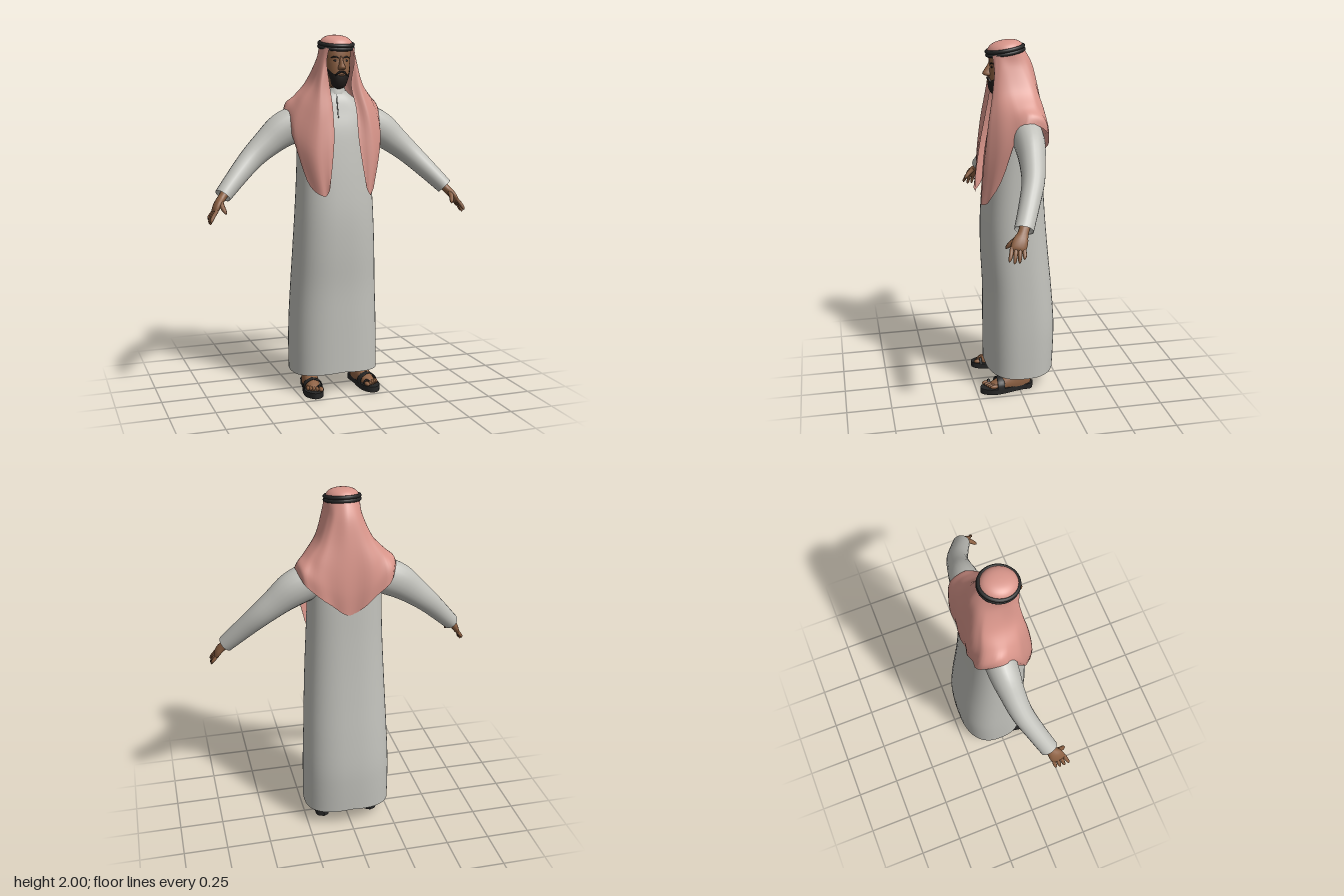
import * as THREE from 'three';
import { mergeVertices } from 'three/addons/utils/BufferGeometryUtils.js';

const paint = (name, color, double) => {
  const m = new THREE.MeshStandardMaterial({ color });
  m.name = name;
  if (double) m.side = THREE.DoubleSide;
  return m;
};

// Smoothly resample a list of equal-length number rows (Catmull-Rom)
function resample(rows, n) {
  const last = rows.length - 1;
  const at = i => rows[Math.min(last, Math.max(0, i))];
  return Array.from({ length: n + 1 }, (_, k) => {
    const u = (k / n) * last, i = Math.min(last - 1, Math.floor(u)), t = u - i;
    return rows[0].map((_, c) => {
      const [a, b, d, e] = [at(i - 1)[c], at(i)[c], at(i + 1)[c], at(i + 2)[c]];
      return b + 0.5 * t * (d - a + t * (2 * a - 5 * b + 4 * d - e + t * (3 * (b - d) + e - a)));
    });
  });
}

// Skin a list of point rings
function loft(rings, closed = true) {
  const n = rings[0].length, pos = rings.flat(2), idx = [];
  for (let i = 0; i < rings.length - 1; i++) {
    for (let j = 0; j < (closed ? n : n - 1); j++) {
      const k = (j + 1) % n, a = i * n + j, b = a + n, c = i * n + k, d = c + n;
      idx.push(a, b, c, b, d, c);
    }
  }
  const g = new THREE.BufferGeometry();
  g.setAttribute('position', new THREE.Float32BufferAttribute(pos, 3));
  g.setIndex(idx);
  g.computeVertexNormals();
  return g;
}

// Upright body from rows [y, half width, front z, back z]; lift bends each ring
function stack(rows, { sides = 32, steps = 0, power = 2, lift = () => 0 } = {}) {
  const list = steps ? resample(rows, steps) : rows;
  const sq = v => Math.sign(v) * Math.abs(v) ** (2 / power);
  return loft(list.map(([y, rx, zf, zb], i) => Array.from({ length: sides }, (_, j) => {
    const a = (j / sides) * Math.PI * 2, c = sq(Math.cos(a)), s = sq(Math.sin(a));
    return [c * rx, y + lift(c, s, i), (zf + zb) / 2 + s * (zf - zb) / 2];
  })));
}

// Limb from rows [x, y, z, radius across, radius in z]
function limb(rows, steps = 12, sides = 14) {
  const list = resample(rows, steps), ref = new THREE.Vector3(0, 0, 1);
  const pts = list.map(r => new THREE.Vector3(r[0], r[1], r[2]));
  return loft(list.map((r, i) => {
    const t = pts[Math.min(i + 1, steps)].clone().sub(pts[Math.max(i - 1, 0)]).normalize();
    const n1 = t.clone().cross(ref).normalize(), n2 = n1.clone().cross(t);
    return Array.from({ length: sides }, (_, j) => {
      const a = (j / sides) * Math.PI * 2;
      return pts[i].clone().addScaledVector(n1, Math.cos(a) * r[3])
        .addScaledVector(n2, Math.sin(a) * r[4]).toArray();
    });
  }));
}

// Copy of a geometry reflected in x, with its faces turned round again
function mirrored(geo) {
  const g = (geo.index ? geo.clone() : mergeVertices(geo)).scale(-1, 1, 1);
  const ix = g.index.array;
  for (let i = 0; i < ix.length; i += 3) [ix[i], ix[i + 1]] = [ix[i + 1], ix[i]];
  return g;
}

export function createModel() {
  const robe = paint('robe grey', 0xc1c1bb, true);
  const cloth = paint('headcloth pink', 0xd8958a, true);
  const skin = paint('skin brown', 0x8c6042);
  const hair = paint('beard black', 0x241f1d, true);
  const black = paint('leather black', 0x262626);
  const seam = paint('seam grey', 0x636361);

  const model = new THREE.Group();
  const add = (name, geo, mat, parent = model) => {
    const m = new THREE.Mesh(geo, mat);
    m.name = name;
    parent.add(m);
    return m;
  };
  const pair = (name, geo, mat) => {
    add(name + 'Left', geo, mat);
    add(name + 'Right', mirrored(geo), mat);
  };

  // Long robe with an open hem
  add('robe', stack([
    [0.12, 0.253, 0.178, -0.218], [0.25, 0.253, 0.178, -0.224], [0.4, 0.25, 0.178, -0.225],
    [0.6, 0.241, 0.178, -0.21], [0.8, 0.232, 0.187, -0.19], [1.0, 0.222, 0.187, -0.172],
    [1.2, 0.212, 0.172, -0.158], [1.4, 0.205, 0.15, -0.148], [1.5, 0.205, 0.135, -0.14],
    [1.58, 0.195, 0.115, -0.125], [1.64, 0.14, 0.1, -0.1], [1.68, 0.085, 0.085, -0.065],
    [1.7, 0.062, 0.082, -0.04],
  ], { sides: 48, steps: 48, power: 2.5, lift: (c, s, i) => (i < 3 ? -0.02 * Math.abs(c) * (1 - i / 3) : 0) }), robe);
  add('collar', stack([[1.68, 0.066, 0.088, -0.05], [1.705, 0.059, 0.085, -0.04], [1.715, 0.055, 0.08, -0.036],
    [1.7, 0.05, 0.075, -0.03]]), robe);
  add('placket', limb([[-0.012, 1.55, 0.123, 0.002, 0.002], [-0.012, 1.58, 0.1155, 0.003, 0.002],
    [-0.012, 1.64, 0.1005, 0.003, 0.002], [-0.01, 1.68, 0.088, 0.002, 0.002]], 8, 6), seam);

  // Sleeves, turned in at the cuff
  pair('sleeve', limb([
    [0.12, 1.54, -0.03, 0.085, 0.08], [0.2, 1.52, -0.03, 0.1, 0.085], [0.29, 1.48, -0.03, 0.098, 0.08],
    [0.38, 1.412, -0.022, 0.08, 0.068], [0.47, 1.335, -0.005, 0.066, 0.06], [0.56, 1.245, 0.035, 0.056, 0.054],
    [0.655, 1.145, 0.083, 0.046, 0.05],
  ], 24, 20), robe);
  pair('cuffLining', limb([[0.654, 1.146, 0.082, 0.045, 0.049], [0.645, 1.156, 0.078, 0.036, 0.038],
    [0.63, 1.17, 0.07, 0.001, 0.001]], 4, 20), robe);

  // Hands
  pair('palm', limb([[0.63, 1.17, 0.07, 0.024, 0.028], [0.665, 1.13, 0.09, 0.022, 0.028],
    [0.69, 1.1, 0.108, 0.02, 0.04], [0.708, 1.068, 0.123, 0.015, 0.04], [0.714, 1.055, 0.127, 0.002, 0.03]]), skin);
  [-1.5, -0.5, 0.5, 1.5].forEach((f, i) => {
    const z = 0.124 + f * 0.02, tip = [1.02, 1.003, 1.0, 1.012][i];
    pair('finger' + (i + 1), limb([[0.702, 1.075, z, 0.01, 0.01], [0.725, 1.045, z + 0.004 + f * 0.003, 0.0105, 0.0105],
      [0.737, tip + 0.01, z + 0.01 + f * 0.005, 0.008, 0.008],
      [0.738, tip, z + 0.011 + f * 0.005, 0.001, 0.001]], 8, 8), skin);
  });
  pair('thumb', limb([[0.675, 1.125, 0.105, 0.014, 0.014], [0.672, 1.095, 0.142, 0.014, 0.014],
    [0.662, 1.068, 0.168, 0.01, 0.01], [0.658, 1.055, 0.176, 0.001, 0.001]], 8, 8), skin);

  // Head, neck and face
  add('neck', stack([[1.6, 0.06, 0.07, -0.05], [1.7, 0.05, 0.068, -0.03], [1.78, 0.05, 0.07, -0.03]]), skin);
  add('head', stack([
    [1.715, 0.004, 0.085, 0.075], [1.722, 0.036, 0.115, 0.02], [1.76, 0.058, 0.133, -0.02], [1.8, 0.067, 0.137, -0.032],
    [1.845, 0.072, 0.135, -0.04], [1.862, 0.074, 0.133, -0.042], [1.9, 0.077, 0.133, -0.045],
    [1.94, 0.075, 0.125, -0.042], [1.975, 0.04, 0.09, 0], [1.98, 0.001, 0.05, 0.04],
  ], { steps: 27, power: 2.2 }), skin);
  add('nose', stack([[1.81, 0.002, 0.14, 0.12], [1.814, 0.018, 0.158, 0.11], [1.825, 0.02, 0.172, 0.11],
    [1.845, 0.013, 0.162, 0.11], [1.87, 0.009, 0.145, 0.11], [1.885, 0.006, 0.137, 0.11]], { sides: 14, steps: 15 }), skin);
  add('beard', stack([
    [1.708, 0.004, 0.09, 0.08], [1.715, 0.038, 0.122, 0.02], [1.74, 0.054, 0.137, -0.005],
    [1.765, 0.065, 0.142, -0.02], [1.785, 0.071, 0.143, -0.03],
  ], { steps: 12, power: 2.2, lift: (c, s, i) => 0.05 * Math.abs(c) ** 4 * (i / 12) }), hair);
  add('moustache', limb([[-0.034, 1.782, 0.133, 0.003, 0.005], [-0.018, 1.797, 0.14, 0.006, 0.007],
    [0, 1.802, 0.142, 0.005, 0.007], [0.018, 1.797, 0.14, 0.006, 0.007], [0.034, 1.782, 0.133, 0.003, 0.005]], 12, 8), hair);
  add('lip', new THREE.SphereGeometry(1, 12, 8).scale(0.017, 0.005, 0.006).translate(0, 1.783, 0.142), skin);
  pair('eye', new THREE.SphereGeometry(1, 12, 8).scale(0.011, 0.005, 0.004).translate(0.031, 1.862, 0.126), hair);
  pair('brow', limb([[0.013, 1.876, 0.131, 0.003, 0.003], [0.034, 1.883, 0.126, 0.004, 0.004],
    [0.053, 1.876, 0.112, 0.002, 0.003]], 8, 8), hair);

  // Headcloth crown and double cord, tipped forward together
  const crown = new THREE.Group();
  crown.name = 'crown';
  crown.position.set(0, 1.939, 0.045);
  crown.rotation.x = 0.165;
  model.add(crown);
  const dome = [[0.09, -0.014], [0.093, 0], [0.088, 0.024], [0.074, 0.043], [0.052, 0.055], [0.026, 0.0605], [0, 0.062]];
  const arc = resample(dome, 18).map(([r, y]) => new THREE.Vector2(Math.max(0, r), y));
  add('crownCloth', new THREE.LatheGeometry(arc, 36).scale(1, 1, 1.1), cloth, crown);
  for (const y of [-0.002, 0.016]) {
    add('headCord', new THREE.TorusGeometry(0.092, 0.0105, 10, 40).rotateX(Math.PI / 2).scale(1, 1, 1.08)
      .translate(0, y, 0), black, crown);
  }

  // Draped headcloth: one half as columns from cord to hem, back centre to front edge
  const half = [
    [0, 1.955, -0.055, 0, 1.87, -0.1, 0, 1.75, -0.128, 0, 1.6, -0.15, 0, 1.47, -0.158, 0, 1.35, -0.153],
    [0.05, 1.95, -0.037, 0.065, 1.87, -0.075, 0.1, 1.75, -0.108, 0.14, 1.63, -0.14, 0.14, 1.53, -0.157, 0.12, 1.43, -0.158],
    [0.083, 1.947, 0, 0.09, 1.87, -0.03, 0.14, 1.75, -0.07, 0.2, 1.67, -0.09, 0.24, 1.6, -0.125, 0.235, 1.53, -0.14],
    [0.093, 1.942, 0.045, 0.1, 1.87, 0.03, 0.145, 1.75, 0.015, 0.215, 1.67, 0, 0.26, 1.63, -0.015, 0.278, 1.58, 0],
    [0.09, 1.937, 0.085, 0.104, 1.87, 0.08, 0.14, 1.74, 0.085, 0.21, 1.62, 0.085, 0.25, 1.46, 0.09, 0.2, 1.22, 0.135],
    [0.082, 1.932, 0.108, 0.092, 1.86, 0.115, 0.115, 1.72, 0.135, 0.16, 1.55, 0.165, 0.18, 1.35, 0.185, 0.15, 1.13, 0.2],
    [0.068, 1.924, 0.128, 0.078, 1.85, 0.122, 0.062, 1.73, 0.12, 0.083, 1.6, 0.145, 0.088, 1.42, 0.18, 0.12, 1.18, 0.208],
  ];
  // The right-hand tail hangs a little nearer the middle
  const right = half.slice(1).map((col, c) => col.map((v, k) =>
    (k % 3 ? v : -v + (c > 3 && k >= 9 ? 0.032 : 0)))).reverse();
  const columns = resample([...right, ...half], 72).map((col, c) => {
    const pts = [];
    for (let k = 0; k < col.length; k += 3) pts.push(col.slice(k, k + 3));
    return resample(pts, 30).map(([x, y, z], r) => {
      const fold = 0.005 * Math.sin(c * 1.05) * (r / 30);
      return [x, y, z + Math.sign(z) * fold];
    });
  });
  const rows = Array.from({ length: 31 }, (_, r) => columns.map(col => col[30 - r]));
  add('headcloth', loft(rows, false), cloth);

  // Feet and sandals, toes turned out
  const place = g => g.rotateY(0.1).translate(0.152, 0, 0);
  const foot = (name, g, mat) => pair(name, place(g), mat);
  const outline = new THREE.Shape();
  outline.moveTo(0, 0.085);
  outline.splineThru([[0.036, 0.06], [0.038, 0], [0.054, -0.11], [0.05, -0.18], [0.01, -0.23], [-0.035, -0.212],
    [-0.053, -0.14], [-0.04, -0.02], [-0.036, 0.06], [0, 0.085]].map(p => new THREE.Vector2(...p)));
  foot('sole', new THREE.ExtrudeGeometry(outline, { depth: 0.032, bevelEnabled: false, curveSegments: 40 })
    .rotateX(-Math.PI / 2), black);
  foot('foot', stack([[0.028, 0.044, 0.19, -0.07], [0.05, 0.045, 0.175, -0.072], [0.075, 0.041, 0.125, -0.07],
    [0.1, 0.036, 0.07, -0.066], [0.13, 0.034, 0.035, -0.062], [0.2, 0.037, 0.025, -0.062], [0.35, 0.046, 0.03, -0.065]],
  { sides: 20, steps: 18, power: 2.3 }), skin);
  [-0.033, -0.012, 0.006, 0.022, 0.036].forEach((x, i) => {
    foot('toe' + (i + 1), new THREE.SphereGeometry(1, 10, 8).scale(i ? 0.0095 : 0.014, 0.012, 0.026)
      .translate(x, 0.042, 0.19 - i * 0.008), skin);
  });
  foot('strap', limb([[0.052, 0.028, 0.12, 0.004, 0.022], [0.043, 0.062, 0.12, 0.004, 0.022], [0, 0.083, 0.118, 0.004, 0.02],
    [-0.043, 0.062, 0.12, 0.004, 0.022], [-0.052, 0.028, 0.12, 0.004, 0.022]], 14, 10), black);
  foot('toeLoop', limb([[-0.008, 0.03, 0.18, 0.004, 0.008], [-0.018, 0.055, 0.178, 0.004, 0.008], [-0.036, 0.058, 0.176, 0.004, 0.008],
    [-0.05, 0.03, 0.174, 0.004, 0.008]], 10, 8), black);

  return model;
}
